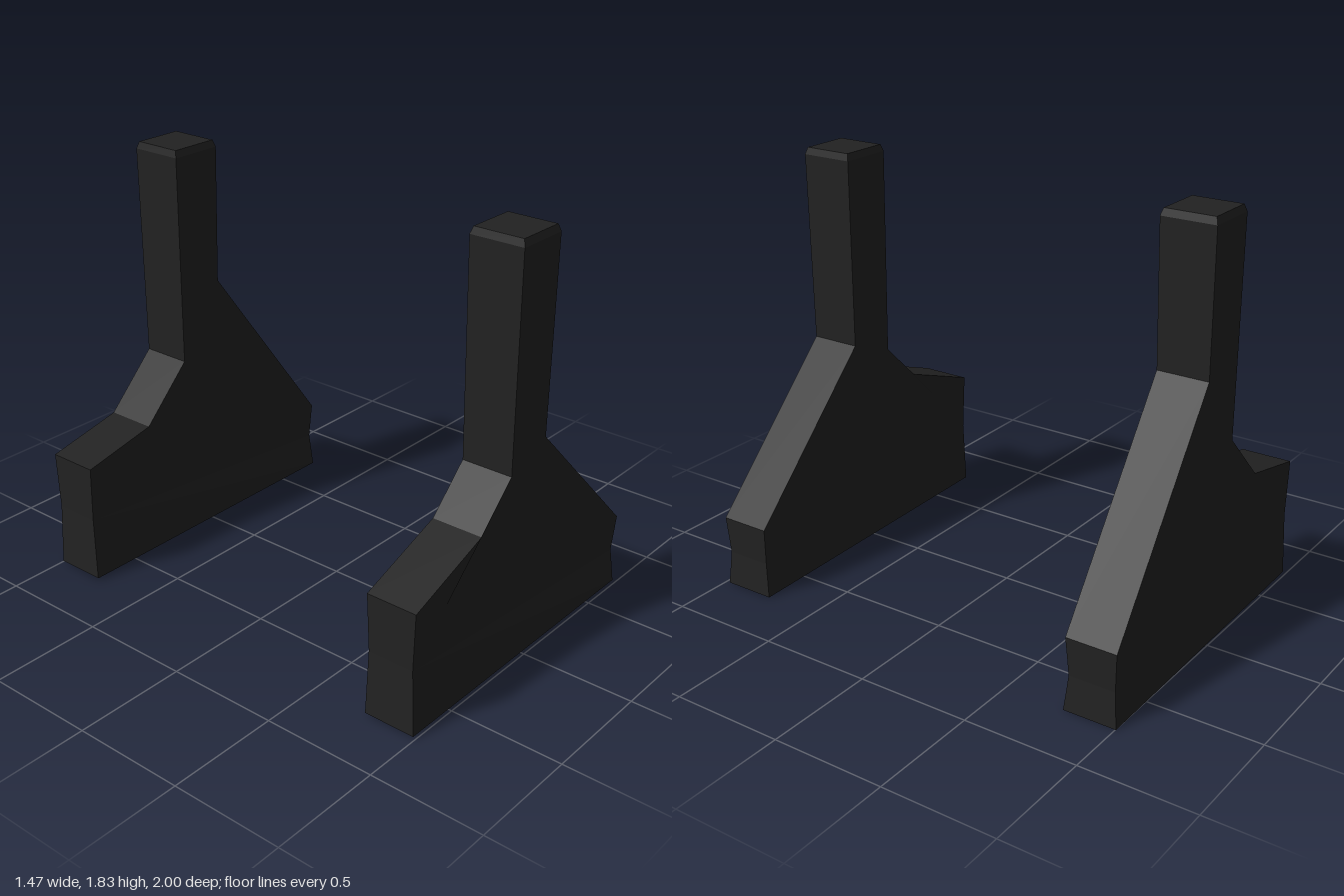
import * as THREE from 'three';

const charcoal = new THREE.MeshStandardMaterial({ color: 0x222222 });
charcoal.name = 'charcoal';

// Flat-shaded mesh from a list of triangles, each made of three Vector3
function meshFrom(name, tris) {
  const geo = new THREE.BufferGeometry().setFromPoints(tris.flat());
  geo.computeVertexNormals();
  const mesh = new THREE.Mesh(geo, charcoal);
  mesh.name = name;
  return mesh;
}

const quad = (a, b, c, d) => [[a, b, c], [a, c, d]];

// One upright: a wide foot plate narrowing into a square post.
// z values are given around the plate's own centre plane.
function upright(name, zCentre, brace, armBend, elbowY) {
  // Counter-clockwise outline: x, y, back z, front z
  const outline = [
    [-0.735, 0.015, -0.117, 0.115],
    [0.73, 0.005, -0.13, 0.105],
    [0.722, 0.16, -0.118, 0.087],   // pinched right end
    [0.73, 0.325, -0.125, 0.1],
    [0.077, brace, -0.113, 0.115],
    [0.085, 1.8, -0.118, 0.122],
    [-0.155, 1.8, -0.118, 0.122],
    [-0.15, elbowY, -0.113, 0.115],
    [armBend[0], armBend[1], -0.113, 0.115],
    [-0.735, 0.555, -0.113, 0.115],
    [-0.727, 0.3, -0.108, 0.1],     // pinched left end
  ];
  const back = outline.map(([x, y, zb]) => new THREE.Vector3(x, y, zb));
  const front = outline.map(([x, y, , zf]) => new THREE.Vector3(x, y, zf));
  const contour = outline.map(([x, y]) => new THREE.Vector2(x, y));

  // Front and back faces, then the rim all round except the post's open top
  const tris = [];
  for (const [a, b, c] of THREE.ShapeUtils.triangulateShape(contour, [])) {
    tris.push([front[a], front[b], front[c]], [back[a], back[c], back[b]]);
  }
  const topEdge = 5;
  outline.forEach((_, i) => {
    if (i === topEdge) return;
    const j = (i + 1) % outline.length;
    tris.push(...quad(front[i], back[i], back[j], front[j]));
  });

  // Bevelled post cap
  const rim = [front[6], front[5], back[5], back[6]];
  const centre = new THREE.Vector3(-0.035, 1.8, 0.002);
  const lid = rim.map((p) => p.clone().lerp(centre, 0.08).setY(1.83));
  const cap = [];
  for (let i = 0; i < 4; i++) {
    const j = (i + 1) % 4;
    cap.push(...quad(rim[i], rim[j], lid[j], lid[i]));
  }
  cap.push(...quad(...lid));

  const group = new THREE.Group();
  group.name = name;
  group.add(meshFrom('footAndPost', tris), meshFrom('postCap', cap));
  group.position.z = zCentre;
  return group;
}

export function createModel() {
  const model = new THREE.Group();
  model.name = 'pairOfUprights';
  model.add(
    upright('frontUpright', 0.877, 0.965, [-0.335, 0.7], 0.88),
    upright('backUpright', -0.873, 1.185, [-0.385, 0.63], 0.865),
  );
  return model;
}
